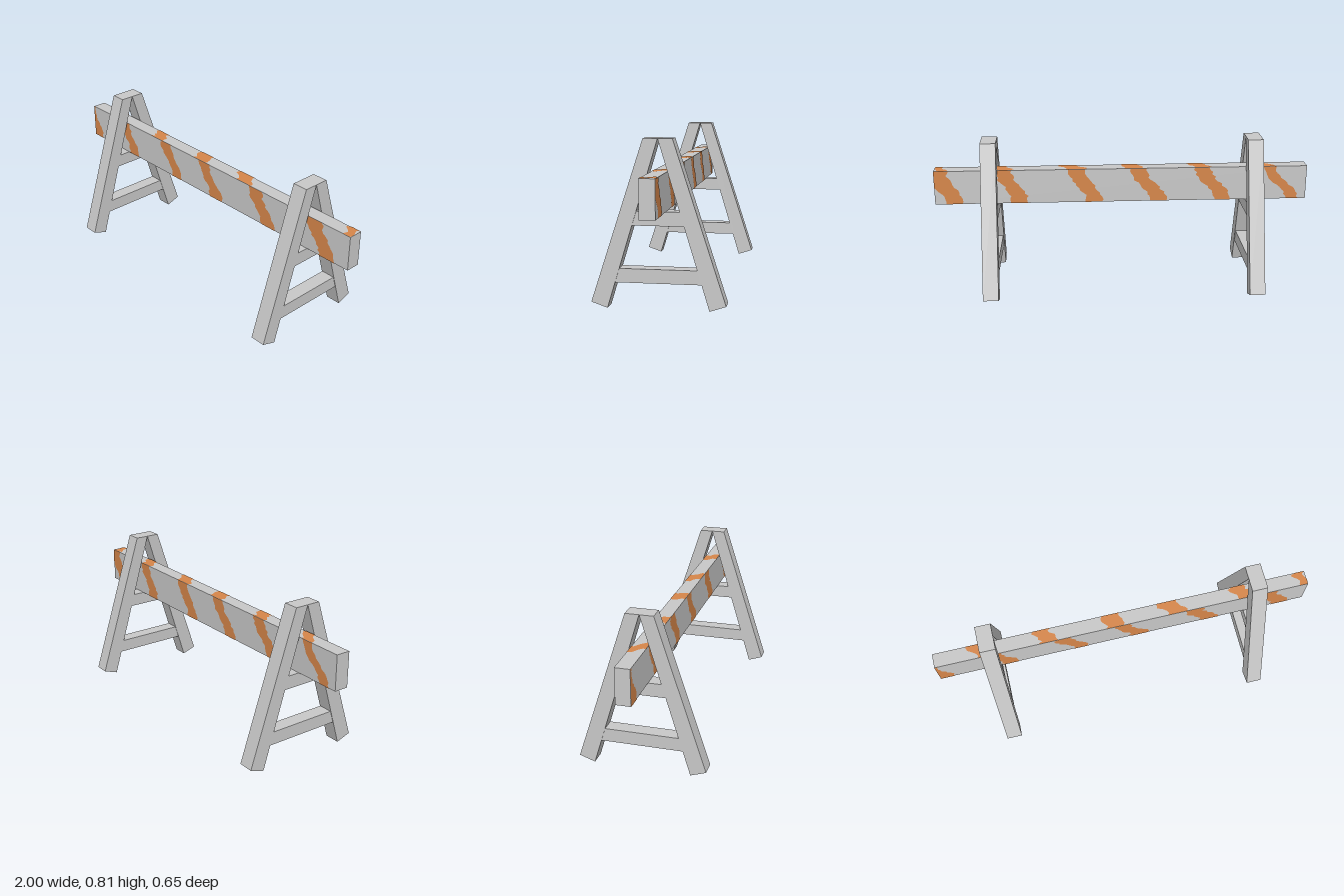
import * as THREE from 'three';

const wood = new THREE.MeshStandardMaterial({ color: 0xc8c8c8 });
wood.name = 'palePaint';
const orange = new THREE.MeshStandardMaterial({ color: 0xd6864a });
orange.name = 'orangePaint';

// Small seeded generator for the worn stripe edges
let seed = 7;
const rand = () => (seed = (seed * 16807) % 2147483647) / 2147483647;

function add(group, name, geometry, material) {
  const mesh = new THREE.Mesh(geometry, material);
  mesh.name = name;
  group.add(mesh);
  return mesh;
}

// Extrudes a (z, y) profile along x, centred on x = 0
function sideProfile(points, width) {
  const shape = new THREE.Shape(points.map(([z, y]) => new THREE.Vector2(-z, y)));
  return new THREE.ExtrudeGeometry(shape, { depth: width, bevelEnabled: false })
    .translate(0, 0, -width / 2).rotateY(Math.PI / 2);
}

// A-frame: two splayed legs joined by two rails
function makeTrestle(x) {
  const trestle = new THREE.Group();
  trestle.name = x > 0 ? 'leftTrestle' : 'rightTrestle';
  trestle.position.x = x;
  for (const s of [1, -1]) {
    const leg = [[0, 0.81], [0.07, 0.81], [0.324, 0.027], [0.245, 0]];
    add(trestle, s > 0 ? 'frontLeg' : 'backLeg',
      sideProfile(leg.map(([z, y]) => [z * s, y]), 0.082), wood);
  }
  const rails = [['lowerRail', 0.125, 0.193, 0.208, 0.187], ['upperRail', 0.4, 0.468, 0.124, 0.103]];
  for (const [name, y0, y1, z0, z1] of rails) {
    add(trestle, name, sideProfile([[-z0, y0], [z0, y0], [z1, y1], [-z1, y1]], 0.076), wood);
  }
  return trestle;
}

// Ragged slanted stripe in a plane: u spans [a0, a1] at v0 and [b0, b1] at v1
function stripeGeometry([a0, a1, b0, b1], v0, v1, steps) {
  const left = [], right = [];
  for (let i = 0; i <= steps; i++) {
    const t = i / steps;
    const v = v0 + (v1 - v0) * t;
    const wave = 0.012 * Math.sin(t * Math.PI * 2);
    const edge = (p, q) => THREE.MathUtils.clamp(
      p + (q - p) * t + wave + (rand() - 0.5) * 0.018, -1, 1);
    left.push(new THREE.Vector2(edge(a0, b0), v));
    right.push(new THREE.Vector2(edge(a1, b1), v));
  }
  return new THREE.ShapeGeometry(new THREE.Shape([...right, ...left.reverse()]));
}

export function createModel() {
  const model = new THREE.Group();
  model.name = 'roadBarrier';
  model.add(makeTrestle(0.704), makeTrestle(-0.708));

  // Plank resting on the upper rails
  const y0 = 0.468, y1 = 0.652, h = 0.0375, gap = 0.0015;
  add(model, 'plank', new THREE.BoxGeometry(2, y1 - y0, h * 2).translate(0, (y0 + y1) / 2, 0), wood);

  // Stripes: [start, end] in x along one long edge, then along the other
  const faces = {
    // bottom edge, top edge
    front: [[-1, -0.925, -1.06, -0.99], [-0.66, -0.575, -0.73, -0.65], [-0.275, -0.195, -0.37, -0.28],
      [0.035, 0.135, -0.045, 0.03], [0.43, 0.515, 0.325, 0.425], [0.82, 0.915, 0.72, 0.83]],
    // bottom edge, top edge
    back: [[0.85, 0.94, 0.93, 1.05], [0.5, 0.59, 0.59, 0.67], [0.1, 0.19, 0.2, 0.29],
      [-0.24, -0.15, -0.13, -0.04], [-0.59, -0.5, -0.48, -0.39], [-0.96, -0.89, -0.83, -0.76]],
    // front edge, back edge
    top: [[-0.78, -0.7, -0.83, -0.75], [-0.45, -0.36, -0.47, -0.38], [-0.09, 0, -0.11, -0.01],
      [0.235, 0.33, 0.19, 0.3], [0.62, 0.71, 0.59, 0.67], [0.95, 1, 0.94, 1]],
    // back edge, front edge
    bottom: [[-0.96, -0.89, -1, -0.925], [-0.59, -0.5, -0.66, -0.575], [-0.24, -0.15, -0.275, -0.195],
      [0.1, 0.19, 0.035, 0.135], [0.5, 0.59, 0.43, 0.515], [0.85, 0.94, 0.82, 0.915]],
  };
  const place = {
    front: (s) => stripeGeometry(s, y0, y1, 14).translate(0, 0, h + gap),
    back: ([a, b, c, d]) => stripeGeometry([-b, -a, -d, -c], y0, y1, 14)
      .rotateY(Math.PI).translate(0, 0, -h - gap),
    top: (s) => stripeGeometry(s, -h, h, 6).rotateX(-Math.PI / 2).translate(0, y1 + gap, 0),
    bottom: (s) => stripeGeometry(s, -h, h, 6).rotateX(Math.PI / 2).translate(0, y0 - gap, 0),
  };
  for (const [face, stripes] of Object.entries(faces)) {
    const group = new THREE.Group();
    group.name = face + 'Stripes';
    stripes.forEach((s, i) => add(group, face + 'Stripe' + (i + 1), place[face](s), orange));
    model.add(group);
  }
  return model;
}
